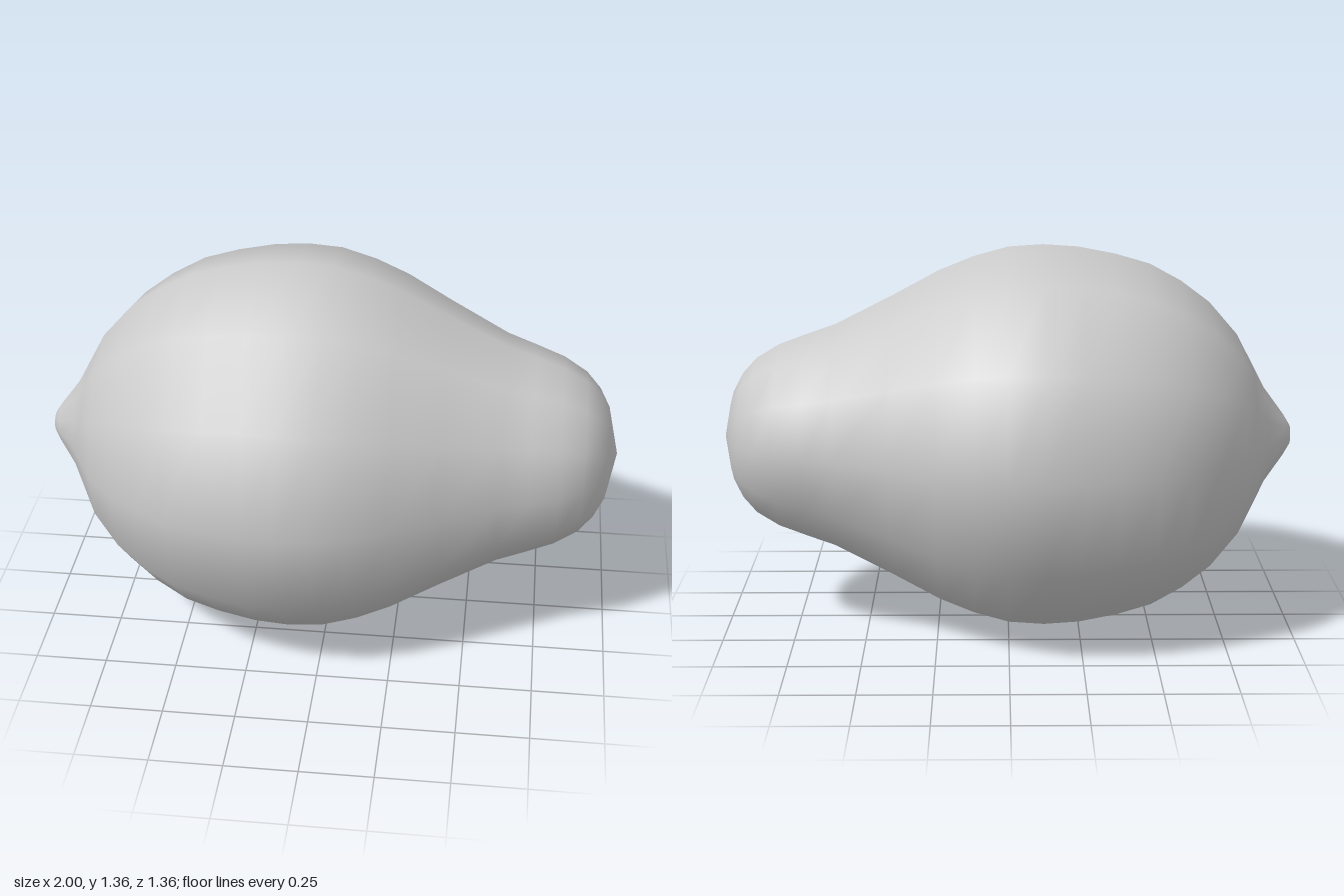
import * as THREE from 'three';

const SIDES = 12;
const AXIS_HEIGHT = 0.68;

// Outline from the pointed tip to the rounded stem end: [position along x, radius]
const PROFILE = [
  [-1, 0], [-0.995, 0.035], [-0.97, 0.075], [-0.9, 0.17], [-0.85, 0.265], [-0.8, 0.36],
  [-0.7, 0.475], [-0.6, 0.55], [-0.49, 0.61], [-0.37, 0.645], [-0.24, 0.67],
  [-0.12, 0.678], [0, 0.67], [0.12, 0.637], [0.24, 0.588], [0.4, 0.502],
  [0.6, 0.4], [0.7, 0.365], [0.8, 0.328], [0.88, 0.28], [0.93, 0.225],
  [0.965, 0.16], [1, 0],
];

export function createModel() {
  const group = new THREE.Group();
  group.name = 'lemon';

  // Twelve-sided fruit body, turned so that its axis lies along x
  const points = PROFILE.map(([along, radius]) => new THREE.Vector2(radius, along));
  const geometry = new THREE.LatheGeometry(points, SIDES);
  geometry.rotateZ(-Math.PI / 2);
  geometry.translate(0, AXIS_HEIGHT, 0);

  const body = new THREE.Mesh(geometry, new THREE.MeshStandardMaterial({ color: 0xcccccc }));
  body.name = 'fruitBody';
  group.add(body);
  return group;
}
